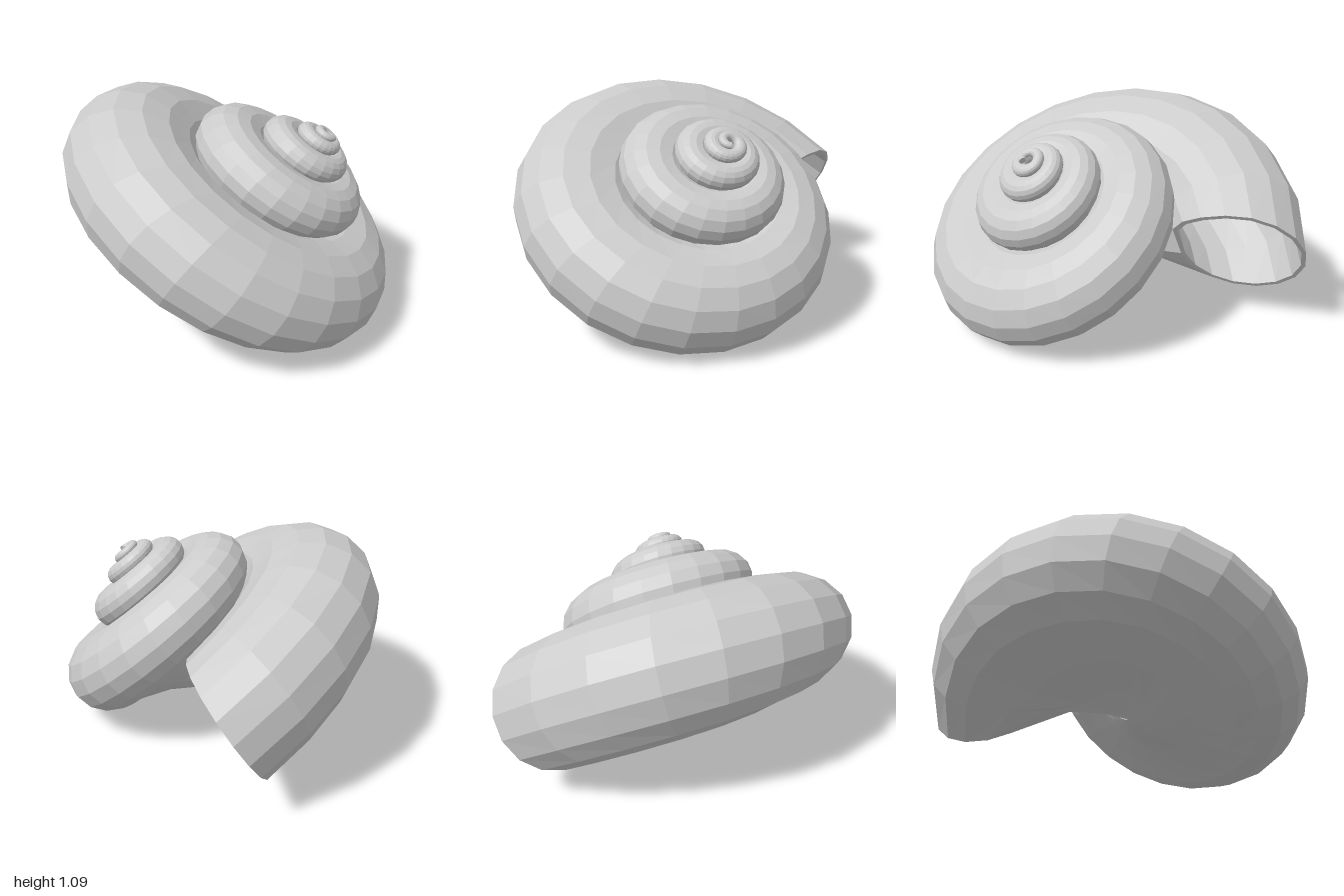
import * as THREE from 'three';

const SIDES = 16;
const APEX = new THREE.Vector3(0.53, 0.975, 0.2);
const ACROSS = new THREE.Vector3(0.815, -0.58, 0).normalize();
const AXIS = new THREE.Vector3(0.58, 0.815, 0.087).normalize(); // tilted coiling axis, towards the apex
const DEPTH = new THREE.Vector3().crossVectors(ACROSS, AXIS);
const MOUTH = 11; // angle of the mouth in degrees; larger angles run back to the apex
const HUB = -0.95; // where the closed base meets the axis

// One cross-section of the coiled tube, in the plane through the axis.
function ring(deg, size = 1, filled = false) {
  const scale = Math.pow(2, (90 - deg) / 360);
  const end = Math.pow(Math.max(0, (90 - deg) / (90 - MOUTH)), 1.5); // 1 at the mouth
  const r = 0.667 * scale + 0.06 * end;
  const w = -0.775 * scale + 0.025 * end;
  const radius = 0.37 * scale - 0.105 * end;
  const height = radius * (0.89 + 0.11 * end);
  // on the last whorl the inner underside runs to the axis and closes the base
  const fill = filled
    ? THREE.MathUtils.smoothstep(deg, MOUTH, 42) * (1 - THREE.MathUtils.smoothstep(deg, 375, 410))
    : 0;
  const a = THREE.MathUtils.degToRad(deg);
  const points = [];
  for (let j = 0; j < SIDES; j++) {
    const phi = (j / SIDES) * Math.PI * 2;
    const c = Math.cos(phi);
    let s = Math.sin(phi);
    // the upper inner corner of the mouth is squarer
    if (j > SIDES / 4 && j < SIDES / 2) s = Math.pow(s, 1 - 0.6 * end);
    let radial = r + radius * size * c;
    let axial = w + height * size * s;
    if (j >= SIDES / 2 && j < SIDES * 0.75) {
      const base = THREE.MathUtils.lerp(HUB, w - height, THREE.MathUtils.smoothstep(1 + c, 0, 1));
      radial = THREE.MathUtils.lerp(radial, r * (1 + c), fill);
      axial = THREE.MathUtils.lerp(axial, base, fill);
    }
    points.push(APEX.clone()
      .addScaledVector(ACROSS, -Math.sin(a) * radial)
      .addScaledVector(DEPTH, -Math.cos(a) * radial)
      .addScaledVector(AXIS, axial));
  }
  return points;
}

// Skin a list of closed rings.
function loft(rings) {
  const positions = rings.flatMap(points => points.flatMap(p => p.toArray()));
  const index = [];
  for (let i = 0; i < rings.length - 1; i++) {
    for (let j = 0; j < SIDES; j++) {
      const k = (j + 1) % SIDES;
      const a = i * SIDES + j, b = i * SIDES + k;
      const c = a + SIDES, d = b + SIDES;
      index.push(a, c, b, b, c, d);
    }
  }
  const geometry = new THREE.BufferGeometry();
  geometry.setAttribute('position', new THREE.Float32BufferAttribute(positions, 3));
  geometry.setIndex(index);
  geometry.computeVertexNormals();
  return geometry;
}

export function createModel() {
  const group = new THREE.Group();
  group.name = 'snailShell';
  const material = new THREE.MeshStandardMaterial({
    color: 0xcccccc, flatShading: true, side: THREE.DoubleSide,
  });
  const add = (name, rings) => {
    const mesh = new THREE.Mesh(loft(rings), material);
    mesh.name = name;
    group.add(mesh);
  };

  // Coiled whorls from the mouth to the closed tip
  const whorls = [];
  const last = MOUTH + 16 * 104;
  for (let deg = MOUTH; deg <= last; deg += 16) whorls.push(ring(deg, 1, true));
  whorls.push(ring(last, 0));
  add('whorls', whorls);

  // Lip and hollow mouth, closed deep inside
  add('mouth', [ring(58, 0), ring(58, 0.72), ring(42, 0.8), ring(26, 0.87),
    ring(MOUTH, 0.93), ring(MOUTH)]);

  return group;
}
